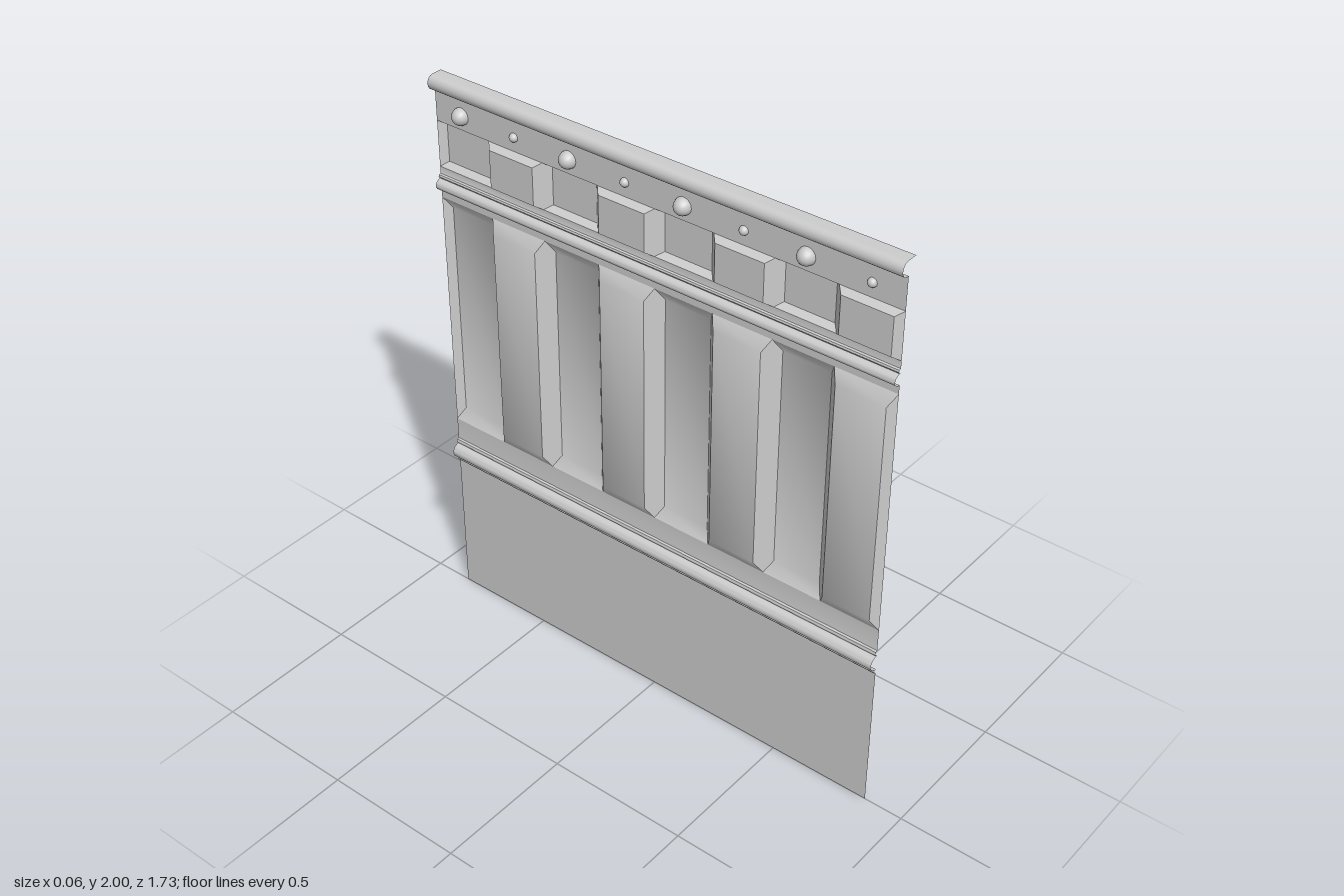
import * as THREE from 'three';
import { toCreasedNormals } from 'three/addons/utils/BufferGeometryUtils.js';

const HALF = 0.8625; // half the panel's width along z
const COUNT = 8; // fields across the width
const STEP = (2 * HALF) / COUNT;

const material = new THREE.MeshStandardMaterial({ color: 0xcccccc, side: THREE.DoubleSide });

// Mesh from four-cornered faces, each a list of [x, y, z] points
function quadMesh(name, quads) {
  const pos = [];
  for (const [a, b, c, d] of quads) pos.push(...a, ...b, ...c, ...a, ...c, ...d);
  const geo = new THREE.BufferGeometry();
  geo.setAttribute('position', new THREE.Float32BufferAttribute(pos, 3));
  geo.computeVertexNormals();
  const mesh = new THREE.Mesh(toCreasedNormals(geo, 0.6), material);
  mesh.name = name;
  return mesh;
}

// Thin sheet: an upward [x, y] profile swept along the full width
function strip(name, profile) {
  const quads = [];
  for (let i = 0; i < profile.length - 1; i++) {
    const [p, q] = [profile[i], profile[i + 1]];
    quads.push([[...p, HALF], [...p, -HALF], [...q, -HALF], [...q, HALF]]);
  }
  return quadMesh(name, quads);
}

// Half-round bead swelling towards -x between two heights
function bead(y0, y1, depth, n = 10) {
  const pts = [];
  for (let i = 0; i <= n; i++) {
    const a = (i / n) * Math.PI;
    pts.push([-depth * Math.sin(a), (y0 + y1) / 2 - ((y1 - y0) / 2) * Math.cos(a)]);
  }
  return pts;
}

// Row of bevelled fields, alternately sunk and raised
function fieldRow(name, y0, y1, insetY, insetZ, depth) {
  const row = new THREE.Group();
  row.name = name;
  for (let i = 0; i < COUNT; i++) {
    const zl = HALF - i * STEP, zr = zl - STEP;
    const x = i % 2 ? depth : -depth;
    const rect = (px, dy, dz) => [
      [px, y0 + dy, zl - dz], [px, y0 + dy, zr + dz],
      [px, y1 - dy, zr + dz], [px, y1 - dy, zl - dz],
    ];
    const outer = rect(0, 0, 0), inner = rect(x, insetY, insetZ);
    const quads = [inner];
    for (let k = 0; k < 4; k++) {
      const m = (k + 1) % 4;
      quads.push([outer[k], outer[m], inner[m], inner[k]]);
    }
    row.add(quadMesh(i % 2 ? 'raisedField' : 'sunkField', quads));
  }
  return row;
}

// Domed studs on the -x side, one per pair of fields
function studs(name, firstZ, radius, depth) {
  const group = new THREE.Group();
  group.name = name;
  for (let i = 0; i < COUNT / 2; i++) {
    const geo = new THREE.SphereGeometry(1, 16, 6, 0, Math.PI * 2, 0, Math.PI / 2);
    geo.rotateZ(Math.PI / 2);
    const stud = new THREE.Mesh(geo, material);
    stud.name = 'stud';
    stud.scale.set(depth, radius, radius);
    stud.position.set(0, 1.888, firstZ + i * 2 * STEP);
    group.add(stud);
  }
  return group;
}

export function createModel() {
  const model = new THREE.Group();
  model.name = 'wallPanel';

  // Plain skirt, then the lower moulding: a large bead between small ones
  model.add(strip('skirt', [[0, 0], [0, 0.54]]));
  model.add(strip('lowerMoulding', [
    ...bead(0.54, 0.555, 0.01, 4),
    ...bead(0.555, 0.61, 0.03),
    ...bead(0.61, 0.63, 0.01, 4),
    [0, 0.71],
  ]));

  // Tall fields
  model.add(fieldRow('tallFields', 0.71, 1.57, 0.042, 0.022, 0.024));

  // Middle moulding
  model.add(strip('middleMoulding', [
    [0, 1.57],
    ...bead(1.6, 1.64, 0.025),
    ...bead(1.64, 1.655, 0.01, 4),
    [0, 1.68],
  ]));

  // Short fields and the frieze above them
  model.add(fieldRow('shortFields', 1.68, 1.84, 0.015, 0.021, 0.022));
  model.add(strip('frieze', [[0, 1.84], [0, 1.95]]));
  model.add(studs('largeStuds', -0.757, 0.029, 0.033));
  model.add(studs('smallStuds', -0.757 + STEP, 0.015, 0.016));

  // Top rail: rounded towards -x, flat lip towards +x
  const rail = [[0, 1.95]];
  for (let i = 0; i <= 8; i++) {
    const a = (i / 8) * Math.PI;
    rail.push([-0.008 - 0.022 * Math.sin(a), 1.975 - 0.025 * Math.cos(a)]);
  }
  rail.push([0.03, 2]);
  model.add(strip('topRail', rail));

  return model;
}
